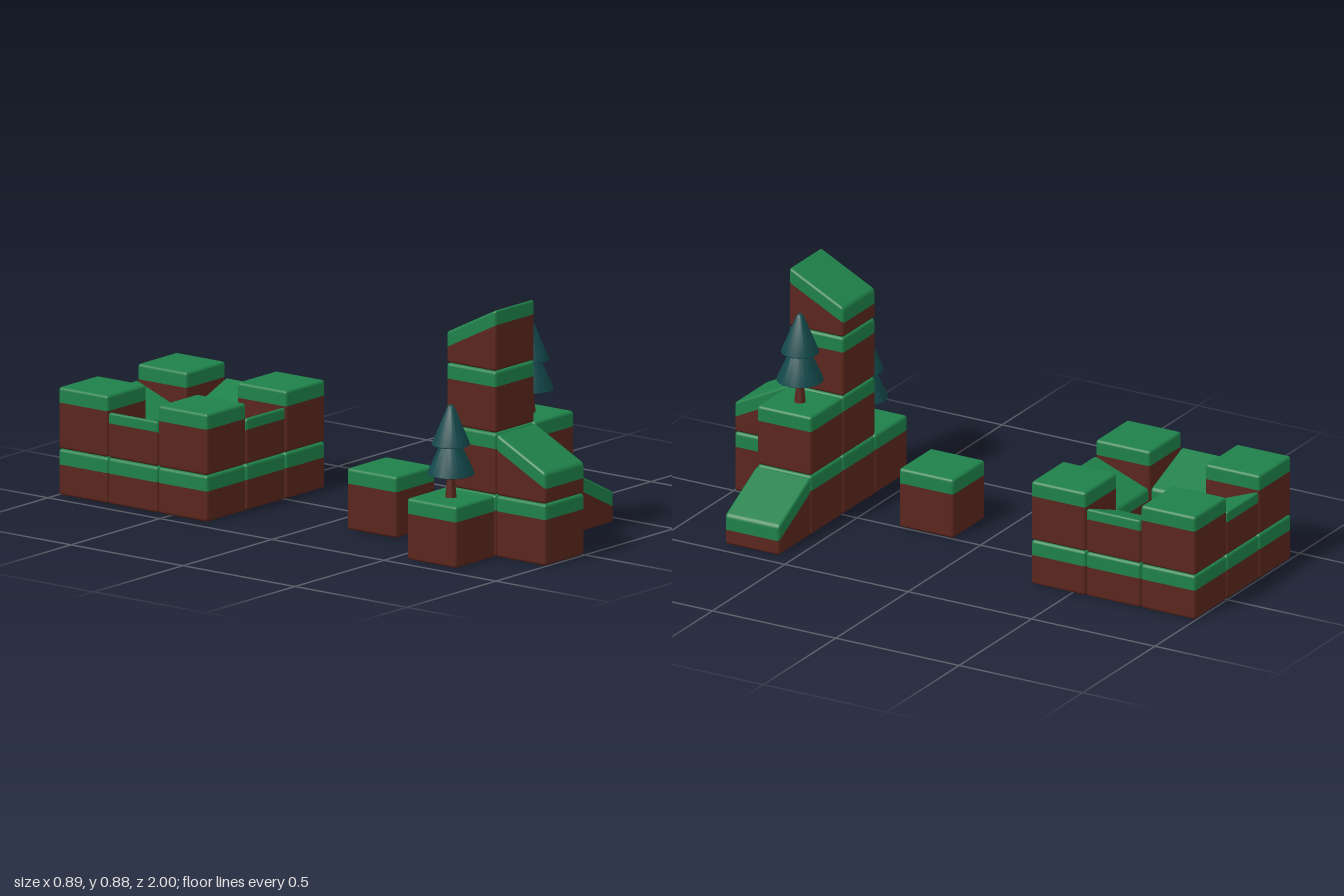
import * as THREE from 'three';
import { RoundedBoxGeometry } from 'three/addons/geometries/RoundedBoxGeometry.js';
import { toCreasedNormals } from 'three/addons/utils/BufferGeometryUtils.js';

const CELL = 2 / 9;      // spacing of the block grid
const LOW = CELL * 0.75; // height of a low block
const BEVEL = 0.011;

const material = (color) => new THREE.MeshStandardMaterial({ color });
const grassMat = material(0x1e8049);
const soilMat = material(0x5a261d);
const leafMat = material(0x144a4d);

// One layer of a block: a rounded box cut flat at the seam, its upper part sheared down towards +z.
function layerGeometry(height, seam, drop, isGrass) {
  const w = CELL - 0.0015;
  const g = new RoundedBoxGeometry(w, height - 0.001, w, 3, BEVEL);
  const p = g.attributes.position, n = g.attributes.normal;
  const v = new THREE.Vector3();
  for (let i = 0; i < p.count; i++) {
    const top = p.getY(i) > 0;
    let y = p.getY(i) + height / 2;
    if (top !== isGrass) y = isGrass ? seam : y;
    if (top && !isGrass) y = seam;
    if (top || isGrass) {
      y -= drop * (p.getZ(i) / w + 0.5);
      v.fromBufferAttribute(n, i);
      v.z += (drop / w) * v.y;
      v.normalize();
      n.setXYZ(i, v.x, v.y, v.z);
    }
    p.setY(i, y);
  }
  return g;
}

// Block with a grass cap; a slope falls to half height towards +z before turning.
function blockMaker(name, height, cap, drop) {
  const soilGeo = layerGeometry(height, height - cap, drop, false);
  const grassGeo = layerGeometry(height, height - cap, drop, true);
  return (x, y, z, turn = 0) => {
    const block = new THREE.Group();
    block.name = name;
    const soil = new THREE.Mesh(soilGeo, soilMat);
    soil.name = 'soil';
    const grass = new THREE.Mesh(grassGeo, grassMat);
    grass.name = 'grassCap';
    block.add(soil, grass);
    block.position.set(x, y, z);
    block.rotation.y = turn;
    return block;
  };
}

function lathe(name, points, mat) {
  const g = new THREE.LatheGeometry(points.map(([r, y]) => new THREE.Vector2(r, y)), 24);
  const mesh = new THREE.Mesh(toCreasedNormals(g, 0.7), mat);
  mesh.name = name;
  return mesh;
}

// Conifer: tapered trunk and two stacked cones with soft rims
function createTree(x, y, z) {
  const tree = new THREE.Group();
  tree.name = 'tree';
  tree.add(
    lathe('trunk', [[0, 0], [0.02, 0], [0.016, 0.04], [0.013, 0.09], [0, 0.09]], soilMat),
    lathe('lowerFoliage', [[0, 0.082], [0.08, 0.082], [0.083, 0.084], [0.0825, 0.088],
      [0.036, 0.192], [0, 0.192]], leafMat),
    lathe('upperFoliage', [[0, 0.187], [0.065, 0.187], [0.067, 0.189], [0.0665, 0.193],
      [0.015, 0.318], [0.011, 0.326], [0.006, 0.331], [0, 0.333]], leafMat),
  );
  tree.position.set(x, y, z);
  return tree;
}

export function createModel() {
  const model = new THREE.Group();
  model.name = 'islandBlocks';
  const block = blockMaker('block', CELL, CELL / 4, 0);
  const slope = blockMaker('slopeBlock', CELL, CELL / 4, CELL / 2);
  const lowBlock = blockMaker('lowBlock', LOW, CELL / 4, 0);
  const lowSlope = blockMaker('lowSlopeBlock', LOW, LOW / 4, LOW / 2);
  const xs = [-1.5, -0.5, 0.5, 1.5].map((i) => i * CELL);

  // Front tower: stacked columns in a row, given as [column, block count]
  const tower = new THREE.Group();
  tower.name = 'tower';
  const zRow = 3 * CELL;
  for (const [column, count] of [[0, 1], [1, 3], [2, 2]]) {
    for (let i = 0; i < count; i++) tower.add(block(xs[column], i * CELL, zRow));
  }
  tower.add(
    slope(xs[1], 3 * CELL, zRow, Math.PI),
    slope(xs[3], 0, zRow, Math.PI / 2),
    block(xs[1], 0, 4 * CELL),
    slope(xs[1], CELL, 4 * CELL),
    createTree(xs[0], CELL, zRow),
    createTree(xs[2], 2 * CELL, zRow),
  );

  // Single stepping block
  const step = block(xs[1], 0, CELL);
  step.name = 'steppingBlock';

  // Back platform: low base, tall corners, slopes falling inwards around the middle
  const platform = new THREE.Group();
  platform.name = 'platform';
  for (let i = -1; i <= 1; i++) {
    for (let j = -1; j <= 1; j++) {
      const x = xs[1] + i * CELL, z = (j - 3) * CELL;
      platform.add(lowBlock(x, 0, z));
      if (i && j) platform.add(block(x, LOW, z));
      else if (i || j) platform.add(lowSlope(x, LOW, z, Math.atan2(-i, -j)));
    }
  }

  model.add(tower, step, platform);
  return model;
}
